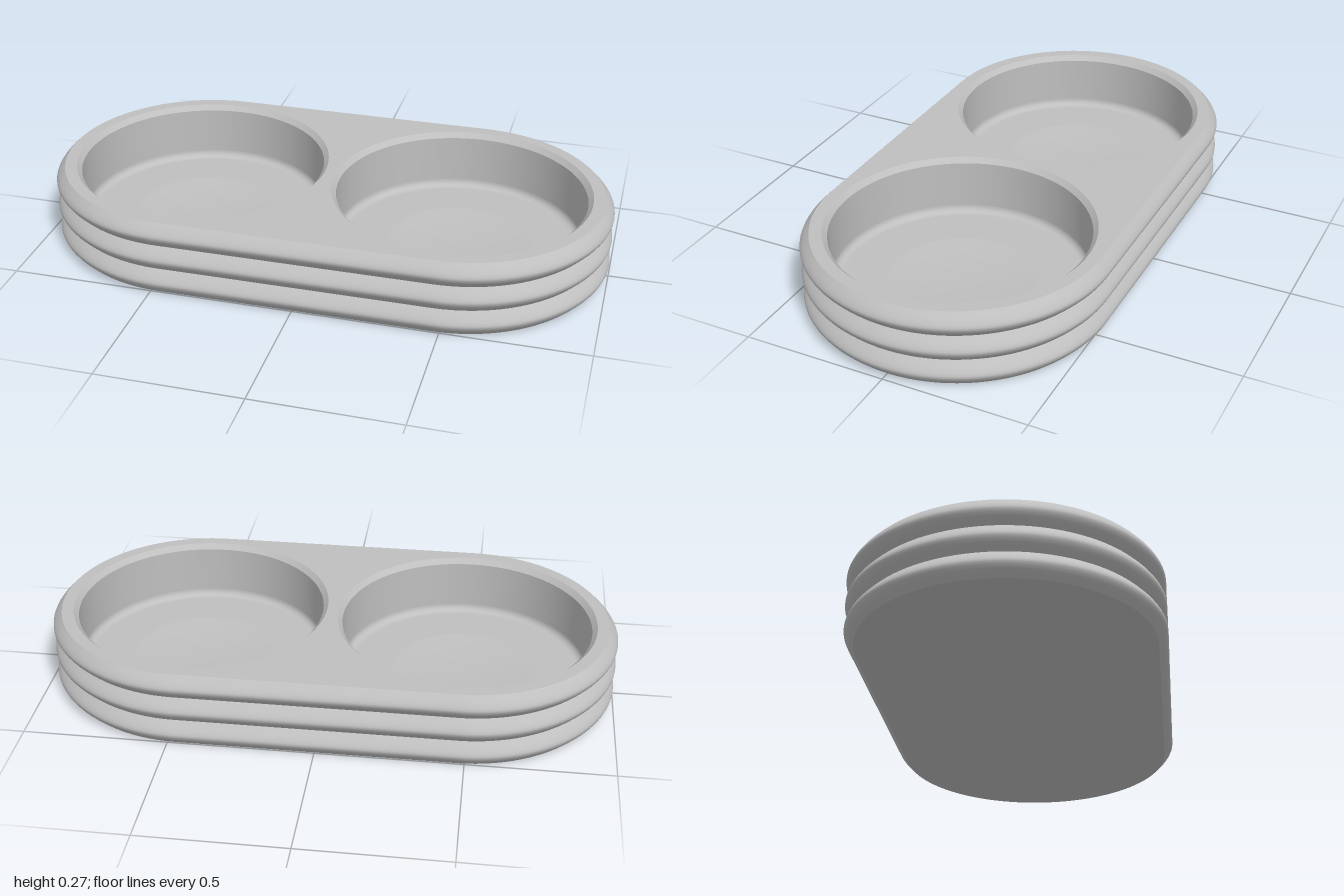
import * as THREE from 'three';

const CENTRE = 0.473;   // x of each cup and rounded end
const HEIGHT = 0.27;
const RIDGES = 3;
const SEG = 48;         // segments per rounded end
const RIM = 0.495;      // outline radius at the grooves, top and base
const CUP = 0.453;      // cup opening radius

// Stadium outline as [x, z] points
function outline(r) {
  const pts = [];
  for (const side of [1, -1]) {
    for (let i = 0; i <= SEG; i++) {
      const a = (i / SEG - 0.5) * Math.PI + (side < 0 ? Math.PI : 0);
      pts.push(new THREE.Vector2(side * CENTRE + r * Math.cos(a), r * Math.sin(a)));
    }
  }
  return pts;
}

// Closed band swept round the outline, from [radius, y] profile points
function ridgeGeometry(profile) {
  const pos = [], index = [];
  const n = outline(1).length;
  profile.forEach(([r, y]) => outline(r).forEach(p => pos.push(p.x, y, p.y)));
  for (let j = 0; j < profile.length - 1; j++) {
    for (let i = 0; i < n; i++) {
      const a = j * n + i, b = j * n + (i + 1) % n;
      index.push(a, a + n, b, b, a + n, b + n);
    }
  }
  const g = new THREE.BufferGeometry();
  g.setAttribute('position', new THREE.Float32BufferAttribute(pos, 3));
  g.setIndex(index);
  g.computeVertexNormals();
  return g;
}

export function createModel() {
  const group = new THREE.Group();
  const grey = new THREE.MeshStandardMaterial({ color: 0xbfbfbf });
  grey.name = 'grey';

  const add = (name, geometry, x = 0, y = 0) => {
    const mesh = new THREE.Mesh(geometry, grey);
    mesh.name = name;
    mesh.position.set(x, y, 0);
    group.add(mesh);
  };

  // Three rounded ridges stacked round the side
  const step = HEIGHT / RIDGES;
  const half = [[RIM, 0], [0.506, 0.011], [0.516, 0.022], [0.523, 0.032], [0.5265, 0.04]];
  const profile = [...half, [0.527, step / 2],
    ...half.map(([r, y]) => [r, step - y]).reverse()];
  for (let i = 0; i < RIDGES; i++) add('sideRidge' + (i + 1), ridgeGeometry(profile), 0, i * step);

  // Flat base
  add('base', new THREE.ShapeGeometry(new THREE.Shape(outline(RIM))).rotateX(Math.PI / 2));

  // Flat top with two round openings
  const top = new THREE.Shape(outline(RIM));
  for (const side of [-1, 1]) {
    const hole = [];
    for (let i = 0; i < 2 * SEG; i++) {
      const a = -i / SEG * Math.PI;
      hole.push(new THREE.Vector2(side * CENTRE + CUP * Math.cos(a), CUP * Math.sin(a)));
    }
    top.holes.push(new THREE.Path(hole));
  }
  add('top', new THREE.ShapeGeometry(top).rotateX(-Math.PI / 2), 0, HEIGHT);

  // Cups: bevelled lip, wall with a small fillet, floor with a shallow dimple
  const lathe = pts => new THREE.LatheGeometry(pts.map(p => new THREE.Vector2(...p)), 2 * SEG);
  const floorY = 0.054, wallR = 0.436, fillet = 0.025;
  const bowl = [[wallR, 0.252], [wallR, floorY + fillet + 0.002]];
  for (let i = 0; i <= 6; i++) {
    const a = i / 6 * Math.PI / 2;
    bowl.push([wallR - fillet + fillet * Math.cos(a), floorY + fillet - fillet * Math.sin(a)]);
  }
  bowl.push([0.4, floorY], [0.26, floorY]);
  for (let i = 0; i <= 6; i++) {
    const r = 0.25 * (1 - i / 6);
    bowl.push([r, floorY - 0.014 * (1 - (r / 0.25) ** 2)]);
  }
  for (const [side, name] of [[1, 'left'], [-1, 'right']]) {
    add(name + 'CupLip', lathe([[CUP, HEIGHT], [wallR, 0.252]]), side * CENTRE);
    add(name + 'Cup', lathe(bowl), side * CENTRE);
  }
  return group;
}
